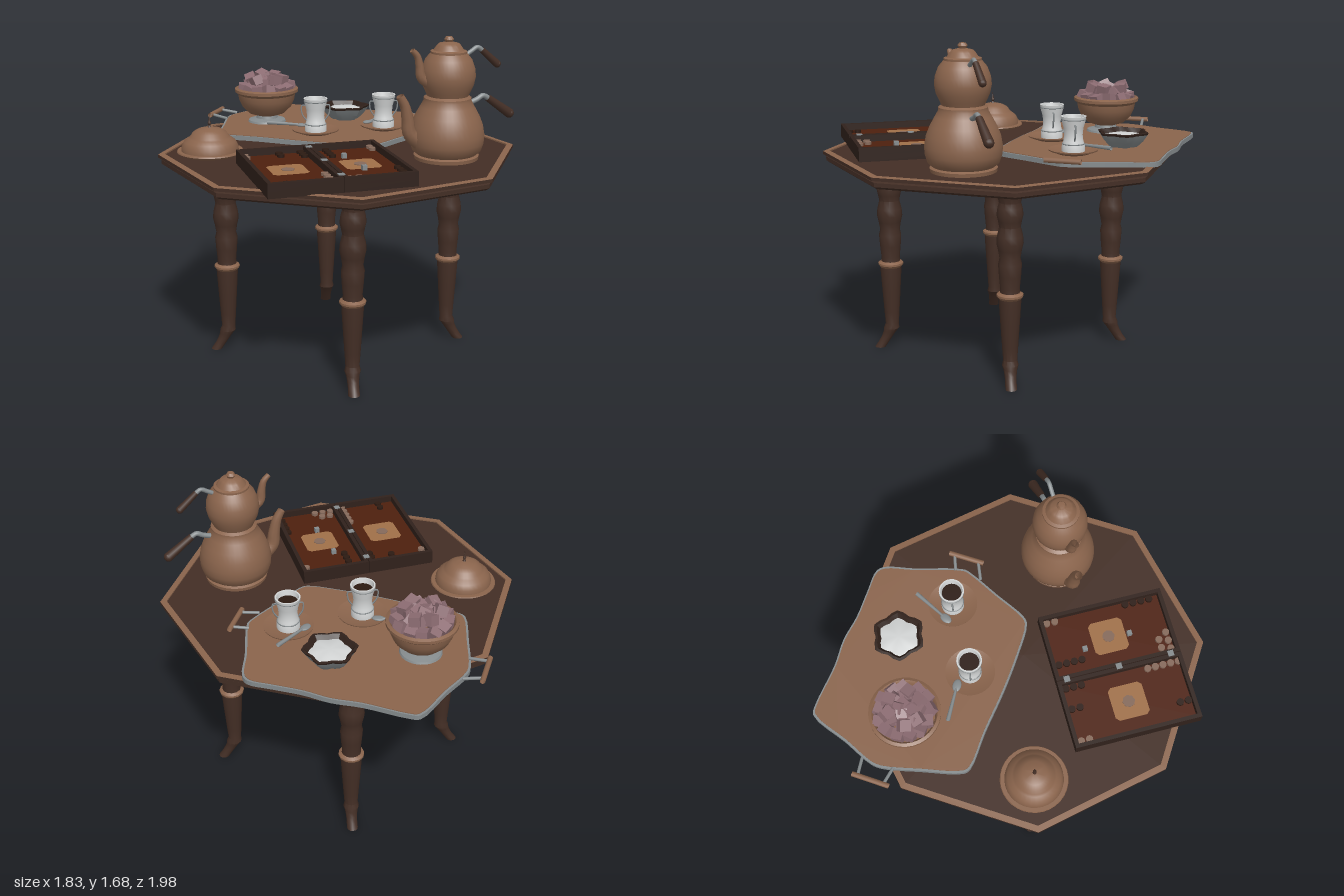
import * as THREE from 'three';
import { toCreasedNormals } from 'three/addons/utils/BufferGeometryUtils.js';

const mat = (name, color, side = THREE.FrontSide) => {
  const m = new THREE.MeshStandardMaterial({ color, side });
  m.name = name;
  return m;
};
const V = (x, y, z = 0) => new THREE.Vector3(x, y, z);

export function createModel() {
  const D = THREE.DoubleSide;
  const wood = mat('dark wood', 0x432e25);
  const copper = mat('copper', 0x8a644c, D);
  const steel = mat('steel', 0x858b8d, D);
  const glass = mat('pale glass', 0xd2d4d4, D);
  const sugar = mat('pink sugar', 0x8c6c72);
  const felt = mat('red brown board', 0x4e200e);
  const inlay = mat('tan inlay', 0xa07048);
  const walnut = mat('walnut', 0x30211b, D);
  const tea = mat('tea', 0x2c1a12);
  const inlayCentre = mat('inlay centre', 0x85695a);

  const model = new THREE.Group();
  const group = (name, x = 0, z = 0, turn = 0, parent = model) => {
    const g = new THREE.Group();
    g.name = name;
    g.position.set(x, 0, z);
    g.rotation.y = turn;
    parent.add(g);
    return g;
  };
  const add = (parent, name, geo, material, x = 0, y = 0, z = 0) => {
    const m = new THREE.Mesh(geo, material);
    m.name = name;
    m.position.set(x, y, z);
    parent.add(m);
    return m;
  };
  // Turned part from [radius, height] pairs, optionally reshaped by a rule
  const turned = (pts, sides = 32, rule) => {
    const g = new THREE.LatheGeometry(pts.map(p => new THREE.Vector2(...p)), sides);
    if (rule) {
      const p = g.attributes.position, v = V(0, 0);
      for (let i = 0; i < p.count; i++) {
        rule(v.fromBufferAttribute(p, i));
        p.setXYZ(i, v.x, v.y, v.z);
      }
    }
    return toCreasedNormals(g, 0.65);
  };
  // Tube along points, tapering from r0 to r1
  const tube = (pts, r0, r1 = r0, seg = 16, sides = 10) => {
    const curve = new THREE.CatmullRomCurve3(pts);
    const g = new THREE.TubeGeometry(curve, seg, r0, sides);
    const p = g.attributes.position, v = V(0, 0);
    for (let i = 0; i < p.count; i++) {
      const t = Math.floor(i / (sides + 1)) / seg, c = curve.getPointAt(t);
      v.fromBufferAttribute(p, i).sub(c).multiplyScalar(1 + (r1 / r0 - 1) * t).add(c);
      p.setXYZ(i, v.x, v.y, v.z);
    }
    return g;
  };
  const box = (w, h, d) => new THREE.BoxGeometry(w, h, d);

  // Octagonal table
  const table = group('table', 0, 0.07);
  add(table, 'tableTop', turned([[0, 1.01], [0.885, 1.01], [0.902, 1.022], [0.902, 1.042], [0.885, 1.048],
    [0.917, 1.054], [0.917, 1.07]], 8), wood);
  add(table, 'tableRim', turned([[0.917, 1.07], [0.884, 1.073], [0.884, 1.066]], 8), copper);
  add(table, 'tableSurface', turned([[0.884, 1.066], [0, 1.066]], 8), wood);

  // Four turned legs with feet swept outward
  const sweep = v => { if (v.y < 0.12) v.x += 0.065 * Math.pow((0.12 - v.y) / 0.12, 1.3); };
  const legLower = [[0, 0], [0.029, 0], [0.028, 0.03], [0.03, 0.06], [0.034, 0.085], [0.041, 0.105], [0.035, 0.13],
    [0.04, 0.2], [0.048, 0.32], [0.055, 0.43], [0.055, 0.45]];
  const legUpper = [[0.05, 0.475], [0.048, 0.5], [0.054, 0.56], [0.058, 0.62], [0.051, 0.65], [0.058, 0.69],
    [0.066, 0.725], [0.063, 0.76], [0.052, 0.805], [0.058, 0.835], [0.065, 0.865], [0.06, 0.9], [0.053, 0.925],
    [0.062, 0.96], [0.066, 0.975], [0.095, 0.985], [0.095, 1.012]];
  for (let i = 0; i < 4; i++) {
    const a = i * Math.PI / 2;
    const leg = group('leg', Math.cos(a) * 0.585, -Math.sin(a) * 0.585, a, table);
    add(leg, 'legLower', turned(legLower, 12, sweep), wood);
    add(leg, 'legRing', turned([[0.05, 0.44], [0.058, 0.448], [0.066, 0.458], [0.066, 0.468], [0.05, 0.478]], 12), copper);
    add(leg, 'legUpper', turned(legUpper, 12), wood);
  }

  // Irregular tray with a steel body and a copper face
  const tray = group('tray', -0.03, -0.45);
  const outline = [[-0.25, -0.995], [-0.2, -0.985], [0, -0.885], [0.14, -0.835], [0.26, -0.765], [0.4, -0.705],
    [0.51, -0.655], [0.53, -0.61], [0.51, -0.46], [0.485, -0.2], [0.46, -0.165], [0.33, -0.04], [0.2, 0.085],
    [0.16, 0.1], [0, 0.045], [-0.2, -0.045], [-0.4, -0.15], [-0.58, -0.235], [-0.6, -0.27], [-0.575, -0.48],
    [-0.545, -0.67], [-0.52, -0.72], [-0.4, -0.84]];
  const edge = new THREE.CatmullRomCurve3(outline.map(([x, z]) => V(x + 0.03, -z - 0.45)), true).getPoints(92);
  const slab = (scale, depth) => new THREE.ExtrudeGeometry(
    new THREE.Shape(edge.map(p => new THREE.Vector2(p.x * scale, p.y * scale))),
    { depth, bevelEnabled: false }).rotateX(-Math.PI / 2);
  add(tray, 'trayBody', slab(1, 0.024), steel, 0, 1.068);
  add(tray, 'trayFace', slab(0.98, 0.005), copper, 0, 1.09);
  const handles = [[[-0.57, -0.81], [-0.645, -0.635], [-0.49, -0.76], [-0.55, -0.61]],
    [[0.575, -0.27], [0.505, -0.1], [0.48, -0.245], [0.42, -0.12]]];
  for (const [a, b, c, d] of handles) {
    const h = group('trayHandle');
    const at = ([x, z], y) => V(x, y, z);
    add(h, 'handleGrip', tube([at(a, 1.11), at(b, 1.11)], 0.013), copper);
    const inset = t => [a[0] + (b[0] - a[0]) * t, a[1] + (b[1] - a[1]) * t];
    add(h, 'handlePost', tube([at(inset(0.15), 1.11), at(c, 1.095)], 0.008), steel);
    add(h, 'handlePost', tube([at(inset(0.85), 1.11), at(d, 1.095)], 0.008), steel);
  }

  // Double teapot
  const pot = group('teapot', 0.517, 0.285, 0.285);
  add(pot, 'potBody', turned([[0, 1.067], [0.16, 1.067], [0.163, 1.085], [0.15, 1.092], [0.172, 1.11], [0.185, 1.15],
    [0.187, 1.19], [0.178, 1.24], [0.16, 1.285], [0.135, 1.33], [0.118, 1.36], [0.118, 1.375], [0.103, 1.385],
    [0.112, 1.405], [0.128, 1.44], [0.136, 1.48], [0.132, 1.52], [0.115, 1.565], [0.09, 1.595], [0.09, 1.605],
    [0.075, 1.61], [0.06, 1.632], [0.05, 1.642], [0.018, 1.65], [0.024, 1.662], [0.016, 1.675], [0, 1.677]], 40), copper);
  add(pot, 'lowerSpout', tube([V(-0.15, 1.16), V(-0.205, 1.21), V(-0.218, 1.28), V(-0.235, 1.35), V(-0.262, 1.4)], 0.042, 0.02), copper);
  add(pot, 'upperSpout', tube([V(-0.1, 1.45), V(-0.147, 1.485), V(-0.158, 1.54), V(-0.172, 1.59), V(-0.2, 1.62)], 0.03, 0.013), copper);
  add(pot, 'lowerBracket', tube([V(0.12, 1.335), V(0.165, 1.35), V(0.2, 1.367), V(0.235, 1.35)], 0.013), steel);
  add(pot, 'upperBracket', tube([V(0.09, 1.575), V(0.125, 1.595), V(0.16, 1.613), V(0.19, 1.595)], 0.011), steel);
  const grips = [['lowerGrip', [0.225, 1.355], [0.355, 1.265], 0.018, 0.025],
    ['upperGrip', [0.183, 1.6], [0.275, 1.522], 0.015, 0.019]];
  for (const [name, a, b, r0, r1] of grips) {
    add(pot, name, tube([V(...a), V(...b)], r0, r1, 6), wood);
    add(pot, name + 'End', new THREE.SphereGeometry(r1, 12, 8), wood, ...b);
  }

  // Domed dish with a spike
  const dish = group('domedDish', -0.655, 0.07);
  add(dish, 'dome', turned([[0, 1.067], [0.14, 1.067], [0.168, 1.082], [0.165, 1.088], [0.145, 1.088], [0.143, 1.11],
    [0.13, 1.135], [0.108, 1.152], [0.098, 1.16], [0.085, 1.18], [0.06, 1.195], [0.025, 1.204], [0, 1.206]]), copper);
  add(dish, 'domeSpike', turned([[0.012, 1.2], [0.005, 1.215], [0.009, 1.225], [0.004, 1.24], [0, 1.27]], 10), wood);

  // Bowl heaped with sugar cubes
  const bowl = group('sugarBowl', -0.33, -0.53);
  add(bowl, 'bowlFoot', turned([[0, 1.094], [0.105, 1.094], [0.1, 1.105], [0.06, 1.115], [0.055, 1.135]]), steel);
  add(bowl, 'bowlBody', turned([[0.055, 1.13], [0.1, 1.145], [0.135, 1.18], [0.153, 1.22], [0.158, 1.25], [0.175, 1.265],
    [0.175, 1.28], [0.16, 1.287], [0.15, 1.275], [0.145, 1.24], [0, 1.225]]), copper);
  let seed = 7;
  const rnd = () => (seed = (seed * 16807) % 2147483647) / 2147483647;
  for (const [count, radius, y] of [[13, 0.122, 1.278], [8, 0.068, 1.305], [4, 0.025, 1.315], [6, 0.085, 1.325]])
    for (let i = 0; i < count; i++) {
      const a = (i + rnd() * 0.3) / count * Math.PI * 2;
      const cube = add(bowl, 'sugarCube', box(0.055, 0.05, 0.055), sugar,
        Math.cos(a) * radius, y + rnd() * 0.012, Math.sin(a) * radius);
      cube.rotation.set(rnd() - 0.5, rnd() * 3, rnd() - 0.5);
    }

  // Six-pointed bowl
  const star = v => {
    const k = 1 + 0.09 * Math.cos(6 * Math.atan2(v.z, v.x));
    v.x *= k; v.z *= k;
  };
  const hex = group('starBowl', 0.11, -0.55);
  add(hex, 'starBowlBody', turned([[0, 1.094], [0.07, 1.094], [0.1, 1.125], [0.122, 1.16]], 24, star), steel);
  add(hex, 'starBowlRim', turned([[0.122, 1.16], [0.126, 1.17], [0.112, 1.172], [0.096, 1.15]], 24, star), walnut);
  add(hex, 'starBowlFilling', turned([[0.1, 1.148], [0.06, 1.158], [0, 1.163]], 24, star), glass);

  // Tea glasses on saucers, each with a spoon
  const settings = [[-0.09, -0.205, [-0.25, -0.125], [-0.07, -0.07]], [0.285, -0.27, [0.065, -0.18], [-0.08, -0.04]]];
  for (const [x, z, end, tip] of settings) {
    const set = group('teaSetting', x, z);
    add(set, 'saucer', turned([[0, 1.094], [0.075, 1.094], [0.123, 1.112], [0.125, 1.118], [0.08, 1.106], [0, 1.104]]), copper);
    add(set, 'glass', turned([[0, 1.107], [0.058, 1.107], [0.058, 1.135], [0.05, 1.16], [0.046, 1.19], [0.05, 1.225],
      [0.06, 1.26], [0.063, 1.283], [0.055, 1.283], [0.047, 1.25]], 24), glass);
    add(set, 'teaSurface', turned([[0.049, 1.258], [0, 1.258]], 24), tea);
    for (const [r, y] of [[0.055, 1.145], [0.0605, 1.268]])
      add(set, 'glassBand', new THREE.TorusGeometry(r, 0.003, 6, 24).rotateX(Math.PI / 2), steel, 0, y);
    for (const s of [-1, 1])
      add(set, 'glassHandle', tube([V(s * 0.055, 1.245), V(s * 0.073, 1.245), V(s * 0.072, 1.2), V(s * 0.05, 1.165)], 0.004, 0.004, 12, 6), steel);
    add(set, 'spoonHandle', tube([V(end[0], 1.13, end[1]), V(tip[0], 1.125, tip[1])], 0.011, 0.006, 6, 8), steel);
    const head = add(set, 'spoonHead', new THREE.SphereGeometry(1, 14, 8), steel, tip[0], 1.124, tip[1]);
    head.scale.set(0.034, 0.008, 0.022);
    head.rotation.y = Math.atan2(end[1] - tip[1], tip[0] - end[0]);
  }

  // Open board game in two hinged halves
  const game = group('boardGame', -0.1225, 0.5375, 0.182);
  for (const s of [-1, 1]) {
    const half = group('boardHalf', s * 0.179, 0, 0, game);
    add(half, 'boardBase', box(0.354, 0.034, 0.645), walnut, 0, 1.084);
    add(half, 'boardFloor', box(0.314, 0.004, 0.605), felt, 0, 1.102);
    for (const t of [-1, 1]) {
      add(half, 'sideWall', box(0.02, 0.04, 0.645), walnut, t * 0.167, 1.118);
      add(half, 'endWall', box(0.314, 0.04, 0.02), walnut, 0, 1.118, t * 0.3125);
    }
    const square = new THREE.Shape();
    const r = 0.088, c = 0.07;
    square.moveTo(-c, -r).lineTo(c, -r).quadraticCurveTo(r * 0.9, -r * 0.9, r, -c).lineTo(r, c)
      .quadraticCurveTo(r * 0.9, r * 0.9, c, r).lineTo(-c, r).quadraticCurveTo(-r * 0.9, r * 0.9, -r, c)
      .lineTo(-r, -c).quadraticCurveTo(-r * 0.9, -r * 0.9, -c, -r);
    add(half, 'inlaySquare', new THREE.ShapeGeometry(square).rotateX(-Math.PI / 2), inlay, 0, 1.106);
    add(half, 'inlayCentre', new THREE.CylinderGeometry(0.032, 0.032, 0.004, 8), inlayCentre, 0, 1.107);
  }
  for (const z of [-0.27, 0, 0.27]) add(game, 'hinge', box(0.03, 0.008, 0.03), steel, 0, 1.138, z);
  for (const [x, z] of [[0.14, -0.135], [0.165, 0.105]]) add(game, 'die', box(0.024, 0.024, 0.024), steel, x, 1.116, z);
  // Rows of counters: start x, z, step x, step z, count, material
  const rows = [[-0.32, -0.285, 0, 0.042, 2, inlayCentre], [-0.15, -0.285, 0, 0.042, 2, tea], [-0.04, -0.285, 0, 0.04, 3, tea],
    [0.09, -0.285, 0, 0.04, 4, tea], [0.322, -0.285, 0, 0.042, 2, inlayCentre], [-0.04, 0.14, 0, 0.04, 5, inlayCentre],
    [0.035, 0.285, 0.045, 0, 3, inlayCentre], [0.05, 0.24, 0.045, 0, 2, inlayCentre], [0.322, 0.13, 0, 0.042, 4, tea],
    [-0.25, 0.245, 0, 0.042, 2, tea]];
  for (const [x, z, dx, dz, n, m] of rows)
    for (let i = 0; i < n; i++)
      add(game, 'counter', new THREE.CylinderGeometry(0.018, 0.018, 0.014, 14), m, x + dx * i, 1.111, z + dz * i);

  return model;
}
